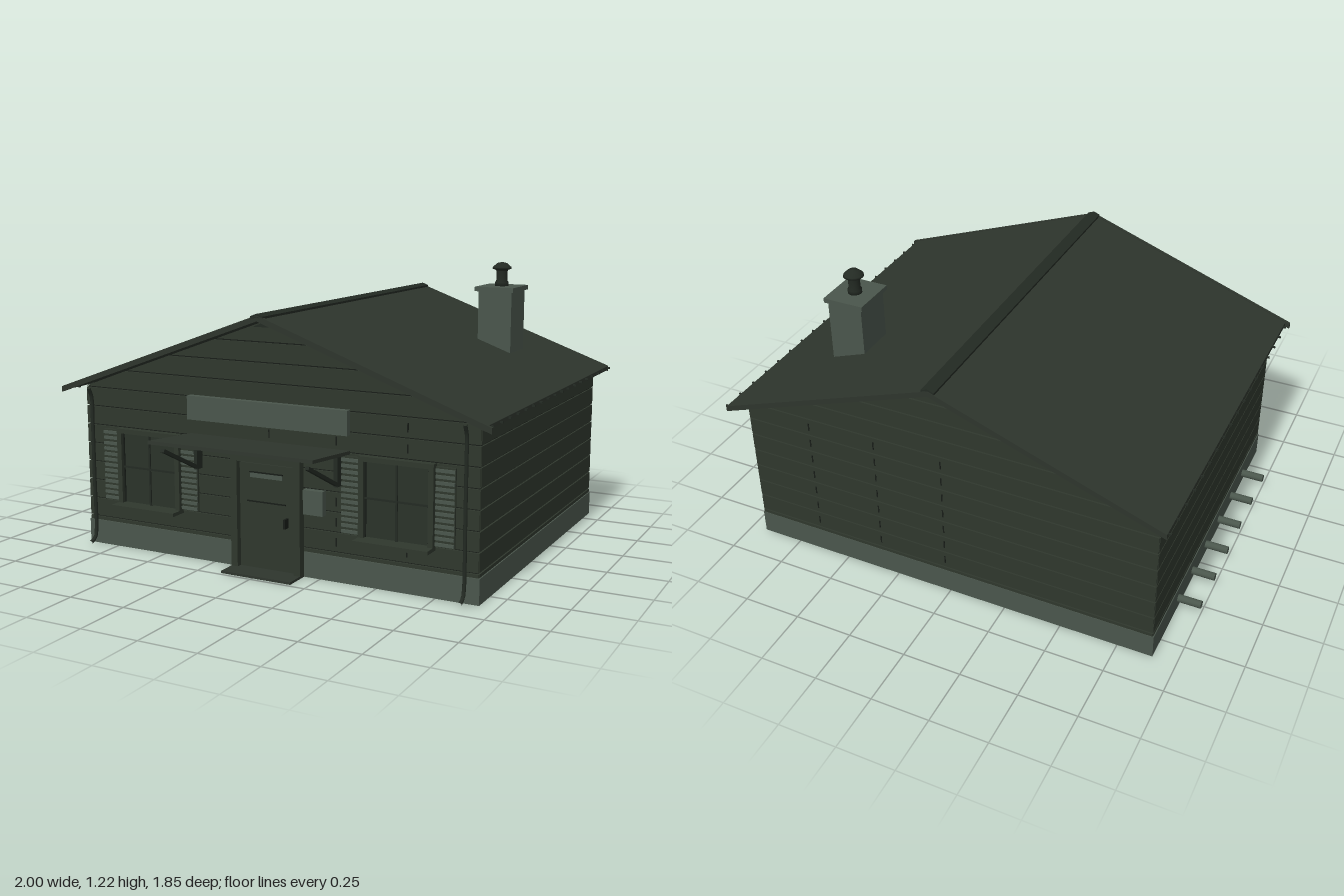
import * as THREE from 'three';

const paint = (name, color) => {
  const m = new THREE.MeshStandardMaterial({ color });
  m.name = name;
  return m;
};

export function createModel() {
  const wall = paint('dark green siding', 0x2f372d);
  const seam = paint('seam shadow', 0x171c17);
  const roofing = paint('roof green', 0x2e352d);
  const stone = paint('grey green stone', 0x4a564c);
  const trim = paint('dark trim', 0x232a23);
  const glass = paint('window glass', 0x2a3229);

  const house = new THREE.Group();
  house.name = 'cabin';
  const CX = 0.015, CZ = -0.115, FRONT = 0.62, BACK = -0.85;

  const add = (name, geo, mat, parent = house) => {
    const m = new THREE.Mesh(geo, mat);
    m.name = name;
    parent.add(m);
    return m;
  };
  // Box given by its two extreme corners
  const box = (name, mat, x0, x1, y0, y1, z0, z1, parent) => {
    const m = add(name, new THREE.BoxGeometry(x1 - x0, y1 - y0, z1 - z0), mat, parent);
    m.position.set((x0 + x1) / 2, (y0 + y1) / 2, (z0 + z1) / 2);
    return m;
  };
  // Outline in x, y extruded between two z values
  const prism = (name, mat, pts, z0, z1, parent) => {
    const shape = new THREE.Shape(pts.map(p => new THREE.Vector2(p[0], p[1])));
    const geo = new THREE.ExtrudeGeometry(shape, { depth: z1 - z0, bevelEnabled: false });
    geo.translate(0, 0, z0);
    return add(name, geo, mat, parent);
  };
  // Square bar in the y, z plane at a given x
  const bar = (name, mat, x, w, t, y0, z0, y1, z1) => {
    const m = add(name, new THREE.BoxGeometry(w, t, Math.hypot(y1 - y0, z1 - z0)), mat);
    m.position.set(x, (y0 + y1) / 2, (z0 + z1) / 2);
    m.rotation.x = -Math.atan2(y1 - y0, z1 - z0);
    return m;
  };

  // Foundation and wall core
  box('foundation', stone, -0.9, 0.93, 0, 0.105, BACK, FRONT);
  prism('wallCore', seam, [[-0.89, 0.1], [0.92, 0.1], [0.92, 0.7], [CX, 1.03], [-0.89, 0.7]],
    BACK + 0.01, FRONT - 0.01);

  // Horizontal siding, clipped under the roof at both gables
  const siding = new THREE.Group();
  siding.name = 'siding';
  house.add(siding);
  const half = y => Math.min(0.91, Math.max(0.002, (1.033 - y) / 0.363));
  const pitch = 0.082;
  for (let i = -1; i < 11; i++) {
    const y0 = i < 0 ? 0.107 : 0.127 + i * pitch;
    const y1 = Math.min(i < 0 ? 0.121 : y0 + pitch - 0.006, 1.03);
    const a = half(y0), b = half(y1);
    const pts = [[CX - a, y0], [CX + a, y0], [CX + b, y1], [CX - b, y1]];
    prism('frontBoard', wall, pts, FRONT - 0.012, FRONT, siding);
    prism('backBoard', wall, pts, BACK, BACK + 0.012, siding);
    if (y1 < 0.71) {
      for (const s of [-1, 1]) {
        const x = CX + s * 0.906;
        box('sideBoard', wall, x - 0.006, x + 0.006, y0, y1, BACK + 0.004, FRONT - 0.004, siding);
      }
    }
    // Butt joints between boards
    if (i >= 0 && i < 7) {
      for (const x of [0.02, 0.325, 0.63]) {
        for (const z of [FRONT, BACK]) {
          box('boardJoint', seam, x - 0.003, x + 0.003, y0 + 0.02, y1 - 0.02, z - 0.001, z + 0.001, siding);
        }
      }
    }
  }

  // Roof with ridge cap, barge boards and rafter tails
  const chevron = (reach, top, t) => {
    const drop = reach * 0.363;
    return [[CX - reach, top - drop], [CX - reach, top - drop - t], [CX, top - t],
      [CX + reach, top - drop - t], [CX + reach, top - drop], [CX, top]].reverse();
  };
  prism('roof', roofing, chevron(0.96, 1.057, 0.018), -0.925, 0.69);
  prism('frontBargeBoard', roofing, chevron(0.98, 1.06, 0.024), 0.685, 0.7);
  prism('backBargeBoard', roofing, chevron(0.96, 1.058, 0.024), -0.927, -0.915);
  prism('ridgeCap', trim, chevron(0.028, 1.066, 0.014), -0.925, 0.7);
  for (const s of [-1, 1]) {
    for (let i = 0; i < 18; i++) {
      const x = CX + s * 0.945, z = -0.91 + i * 0.092;
      box('rafterTail', trim, x - 0.028, x + 0.028, 0.697, 0.705, z - 0.003, z + 0.003);
    }
  }
  prism('gableTie', trim, [[CX - 0.06, 1.005], [CX + 0.06, 1.005], [CX, 1.028]], FRONT, 0.63);

  // Chimney and flue
  box('chimney', stone, 0.52, 0.675, 0.78, 1.09, -0.56, -0.385);
  box('chimneyCap', stone, 0.505, 0.685, 1.088, 1.108, -0.575, -0.375);
  const flue = [[0, 1.1], [0.03, 1.1], [0.03, 1.125], [0.025, 1.13], [0.025, 1.175], [0.029, 1.18],
    [0.043, 1.185], [0.041, 1.193], [0.022, 1.21], [0, 1.215]];
  add('flue', new THREE.LatheGeometry(flue.map(p => new THREE.Vector2(p[0], p[1])), 16), trim)
    .position.set(0.595, 0, -0.477);

  // Door, frame and step
  for (const [x0, x1] of [[-0.145, -0.115], [0.148, 0.178]]) {
    box('doorJamb', wall, x0, x1, 0.01, 0.487, FRONT, 0.655);
  }
  box('doorLintel', wall, -0.115, 0.148, 0.457, 0.487, FRONT, 0.655);
  box('doorShadow', seam, -0.115, 0.148, 0.01, 0.457, FRONT, 0.628);
  box('door', wall, -0.11, 0.143, 0.012, 0.45, 0.625, 0.637);
  box('doorPlate', stone, -0.06, 0.09, 0.392, 0.415, 0.636, 0.64);
  box('doorPlateRail', seam, -0.062, 0.092, 0.412, 0.417, 0.636, 0.642);
  box('doorRail', seam, -0.075, 0.105, 0.29, 0.295, 0.636, 0.642);
  box('doorHandle', seam, 0.108, 0.117, 0.2, 0.24, 0.636, 0.665);
  box('doorStep', roofing, -0.145, 0.178, 0, 0.01, FRONT, 0.735);
  box('letterBox', stone, 0.19, 0.278, 0.27, 0.37, FRONT, 0.65);

  // Sign panel, awning and its brackets
  box('signPanel', stone, -0.355, 0.385, 0.605, 0.705, FRONT, 0.648);
  bar('awning', roofing, CX, 0.74, 0.014, 0.535, 0.62, 0.56, 0.925);
  for (const x of [-0.31, 0.342]) {
    bar('awningBrace', trim, x, 0.016, 0.014, 0.41, 0.655, 0.525, 0.89);
    box('awningPost', trim, x - 0.008, x + 0.008, 0.4, 0.535, FRONT, 0.66);
  }

  // Windows with louvred shutters
  for (const x of [-0.56, 0.592]) {
    const win = new THREE.Group();
    win.name = 'window';
    win.position.x = x;
    house.add(win);
    box('glass', glass, -0.135, 0.135, 0.21, 0.515, FRONT, 0.632, win);
    for (const s of [-1, 1]) {
      box('frameSide', wall, s * 0.147 - 0.011, s * 0.147 + 0.011, 0.2, 0.533, FRONT, 0.65, win);
      box('frameLine', seam, s * 0.133 - 0.003, s * 0.133 + 0.003, 0.21, 0.515, FRONT, 0.636, win);
    }
    box('frameTop', wall, -0.136, 0.136, 0.513, 0.533, FRONT, 0.65, win);
    box('sill', wall, -0.158, 0.158, 0.193, 0.208, FRONT, 0.7, win);
    box('mullion', trim, -0.004, 0.004, 0.208, 0.513, FRONT, 0.638, win);
    box('transom', trim, -0.136, 0.136, 0.362, 0.37, FRONT, 0.637, win);
    for (const s of [-1, 1]) {
      const c = s * 0.199;
      box('shutter', wall, c - 0.04, c + 0.04, 0.21, 0.522, FRONT, 0.63, win);
      for (let i = 0; i < 13; i++) {
        const y = 0.214 + i * 0.024;
        box('slat', stone, c - 0.039, c + 0.039, y, y + 0.013, 0.628, 0.637, win);
      }
    }
  }

  // Downspouts
  for (const x of [-0.845, 0.88]) {
    const path = new THREE.CatmullRomCurve3([[0.7, 0.67], [0.66, 0.652], [0.55, 0.65], [0.3, 0.65],
      [0.07, 0.65], [0.035, 0.66], [0.02, 0.69]].map(([y, z]) => new THREE.Vector3(x, y, z)));
    add('downspout', new THREE.TubeGeometry(path, 32, 0.008, 8), trim);
  }

  // Drain pipes along the right wall
  for (let i = 0; i < 6; i++) {
    const pipe = add('drainPipe', new THREE.CylinderGeometry(0.017, 0.017, 0.12, 12), stone);
    pipe.rotation.z = Math.PI / 2;
    pipe.position.set(-0.94, 0.05, -0.545 + i * 0.182);
  }

  return house;
}
